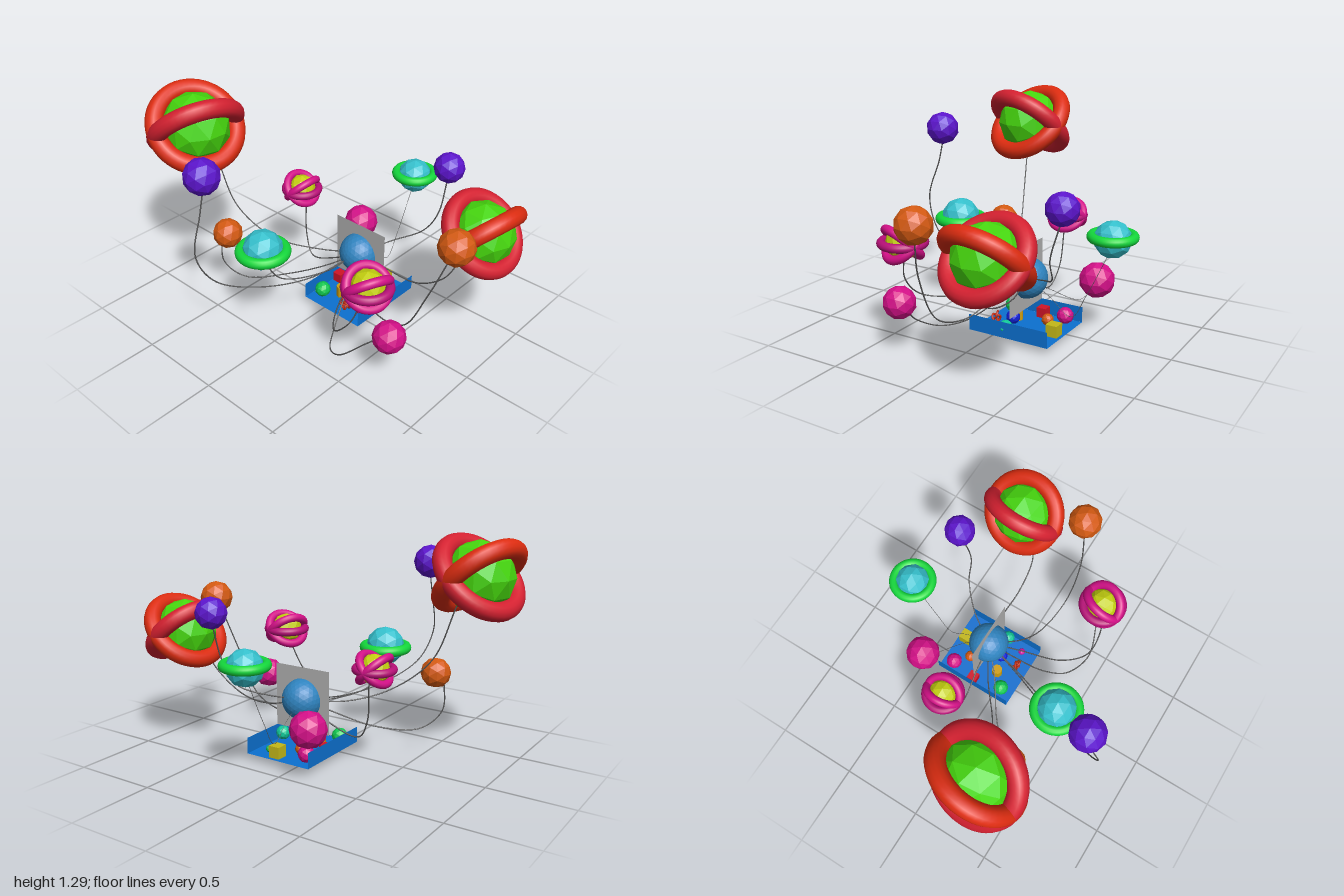
import * as THREE from 'three';

const mat = (color, extra = {}) => new THREE.MeshStandardMaterial({ color, ...extra });
const PURPLE = 0x5c14cc, ORANGE = 0xd45a12, PINK = 0xd41088, GREEN = 0x46d60e;
const TEAL = 0x35c0cc, LIME = 0x14d83c, RED = 0xd42030, SCARLET = 0xdc2c10, YELLOW = 0xc4d010;
const HUB = [0.087, 0.34, -0.145];

export function createModel() {
  const model = new THREE.Group();
  model.name = 'orbMachine';

  const add = (parent, name, geometry, material, pos = [0, 0, 0]) => {
    const mesh = new THREE.Mesh(geometry, material);
    mesh.name = name;
    mesh.position.set(...pos);
    parent.add(mesh);
    return mesh;
  };

  // Faceted ball
  const ball = (parent, name, r, color, pos, detail = 1) =>
    add(parent, name, new THREE.IcosahedronGeometry(r, detail), mat(color, { flatShading: true }), pos);

  // Ball wrapped by rings that share one horizontal axis; each ring is [roll, color]
  const ringedOrb = (name, pos, r, color, R, tube, rings, yaw = 0, ringY = 0) => {
    const orb = new THREE.Group();
    orb.name = name;
    orb.position.set(...pos);
    orb.rotation.y = yaw;
    ball(orb, name + 'Core', r, color);
    for (const [roll, ringColor] of rings) {
      const ring = add(orb, name + 'Ring', new THREE.TorusGeometry(R, tube, 14, 48), mat(ringColor), [0, ringY, 0]);
      ring.rotation.set(Math.PI / 2, 0, roll, 'ZYX');
    }
    model.add(orb);
  };

  // Wire running from the hub through the points
  const wireMat = mat(0x555555);
  const wire = (name, points, r = 0.004) => {
    const curve = new THREE.CatmullRomCurve3([HUB, ...points].map((p) => new THREE.Vector3(...p)));
    add(model, name, new THREE.TubeGeometry(curve, 60, r, 6), wireMat);
  };

  // Hub ball and the panel through its middle
  ball(model, 'hub', 0.122, 0x2f84c0, HUB, 4);
  add(model, 'panel', new THREE.PlaneGeometry(0.37, 0.38), mat(0xb0b0b0, { side: THREE.DoubleSide }), [0.09, 0.34, -0.145]);

  // Tray: floor and two side walls, open at front and back
  const trayMat = mat(0x0c70d0, { side: THREE.DoubleSide });
  add(model, 'trayFloor', new THREE.PlaneGeometry(0.425, 0.51), trayMat, [0.088, 0.04, -0.143]).rotation.x = -Math.PI / 2;
  for (const x of [-0.125, 0.3])
    add(model, 'trayWall', new THREE.PlaneGeometry(0.51, 0.095), trayMat, [x, 0.0875, -0.143]).rotation.y = Math.PI / 2;

  // Large crossed-ring orbs
  const q = Math.PI / 4;
  ringedOrb('largeOrbRight', [-0.767, 1.07, 0.335], 0.205, GREEN, 0.24, 0.055, [[q, RED], [-q, SCARLET]], -0.3);
  ringedOrb('largeOrbLeft', [0.8, 0.698, -0.337], 0.185, GREEN, 0.213, 0.05, [[q, SCARLET], [-q, RED]], -0.12);

  // Triple-ring orbs
  const triple = [[q, PINK], [0, 0xb81078], [-q, PINK]];
  ringedOrb('tripleRingOrbRight', [-0.393, 0.597, -0.148], 0.086, YELLOW, 0.103, 0.023, triple);
  ringedOrb('tripleRingOrbLeft', [0.57, 0.6, 0.357], 0.098, YELLOW, 0.118, 0.026, triple, -0.4);

  // Single-ring orbs
  ringedOrb('planetFront', [-0.118, 0.563, 0.448], 0.118, TEAL, 0.128, 0.031, [[0, LIME]], 0, -0.01);
  ringedOrb('planetBack', [0.08, 0.652, -0.668], 0.105, TEAL, 0.114, 0.027, [[0, LIME]], 0, 0.015);

  // Plain balls
  ball(model, 'purpleBallFront', 0.103, PURPLE, [-0.287, 1.067, 0.695]);
  ball(model, 'purpleBallBack', 0.092, PURPLE, [0.416, 0.88, -0.541]);
  ball(model, 'orangeBallRight', 0.09, ORANGE, [-0.503, 0.468, 0.375]);
  ball(model, 'orangeBallLeft', 0.102, ORANGE, [0.88, 0.825, 0.035]);
  ball(model, 'pinkBallBack', 0.106, PINK, [-0.175, 0.302, -0.463]);
  ball(model, 'pinkBallFront', 0.094, PINK, [0.683, 0.298, 0.304]);

  // Wires
  wire('largeOrbRightWire', [[-0.12, 0.33, -0.02], [-0.34, 0.4, 0.15], [-0.54, 0.58, 0.25], [-0.66, 0.9, 0.29]]);
  wire('purpleFrontWire', [[0, 0.29, 0.2], [-0.12, 0.33, 0.5], [-0.22, 0.44, 0.72], [-0.27, 0.62, 0.8], [-0.287, 0.85, 0.73], [-0.287, 0.97, 0.7]]);
  wire('orangeRightWire', [[-0.05, 0.25, -0.02], [-0.25, 0.16, 0.12], [-0.45, 0.135, 0.3], [-0.55, 0.24, 0.38], [-0.555, 0.44, 0.38]]);
  wire('tripleRightWire', [[-0.1, 0.22, -0.13], [-0.27, 0.17, -0.11], [-0.34, 0.28, -0.13], [-0.36, 0.52, -0.148]]);
  wire('planetFrontWire', [[0.02, 0.29, 0.1], [-0.08, 0.33, 0.35], [-0.115, 0.46, 0.44]]);
  wire('planetBackWire', [[0.09, 0.25, -0.3], [0.08, 0.155, -0.43], [0.08, 0.3, -0.52], [0.08, 0.57, -0.65]], 0.0015);
  wire('purpleBackWire', [[0.2, 0.39, -0.32], [0.33, 0.46, -0.44], [0.41, 0.6, -0.47], [0.416, 0.8, -0.53]]);
  wire('largeOrbLeftWire', [[0.3, 0.285, -0.18], [0.5, 0.3, -0.175], [0.68, 0.42, -0.19], [0.75, 0.58, -0.25]]);
  wire('orangeLeftWire', [[0.25, 0.22, 0], [0.4, 0.155, 0.06], [0.62, 0.22, 0.1], [0.77, 0.5, 0.1], [0.86, 0.76, 0.05]]);
  wire('pinkFrontWire', [[0.13, 0.2, 0], [0.2, 0.04, 0.2], [0.28, 0.006, 0.33], [0.42, 0.08, 0.4], [0.56, 0.21, 0.36], [0.63, 0.27, 0.32]]);
  wire('tripleLeftWire', [[0.17, 0.27, 0.05], [0.27, 0.2, 0.28], [0.38, 0.23, 0.4], [0.5, 0.36, 0.41], [0.55, 0.51, 0.37]]);
  wire('pinkBackWire', [[0.03, 0.27, -0.28], [-0.08, 0.2, -0.4], [-0.15, 0.24, -0.44]], 0.0015);

  // Small pieces lying in the tray
  const pieces = [
    ['pinkPiece', 0.05, PINK, [-0.06, 0.09, -0.32]], ['mintPiece', 0.02, 0x10c060, [0.21, 0.06, -0.31]],
    ['orangePiece', 0.036, ORANGE, [0.025, 0.08, -0.25]], ['greenPiece', 0.048, 0x10c850, [-0.055, 0.09, 0.03]],
    ['tealPiece', 0.043, 0x10c898, [0.26, 0.088, -0.108]], ['magentaPiece', 0.022, 0xd018a0, [0.232, 0.062, 0.013]],
    ['bluePiece', 0.042, 0x1020d8, [0.13, 0.098, -0.08]],
  ];
  for (const [name, r, color, pos] of pieces) ball(model, name, r, color, pos);
  add(model, 'redCube', new THREE.BoxGeometry(0.06, 0.06, 0.06), mat(0xd01428), [-0.085, 0.072, -0.16]);
  add(model, 'yellowCube', new THREE.BoxGeometry(0.07, 0.07, 0.07), mat(0xc4b818), [0.125, 0.077, -0.345]);
  add(model, 'goldCylinder', new THREE.CylinderGeometry(0.033, 0.033, 0.07, 8), mat(0xd0a010, { flatShading: true }), [0.03, 0.076, -0.05]);
  add(model, 'redKnot', new THREE.TorusKnotGeometry(0.024, 0.007, 64, 6), mat(0xc83014), [0.132, 0.072, 0.035]);

  return model;
}
